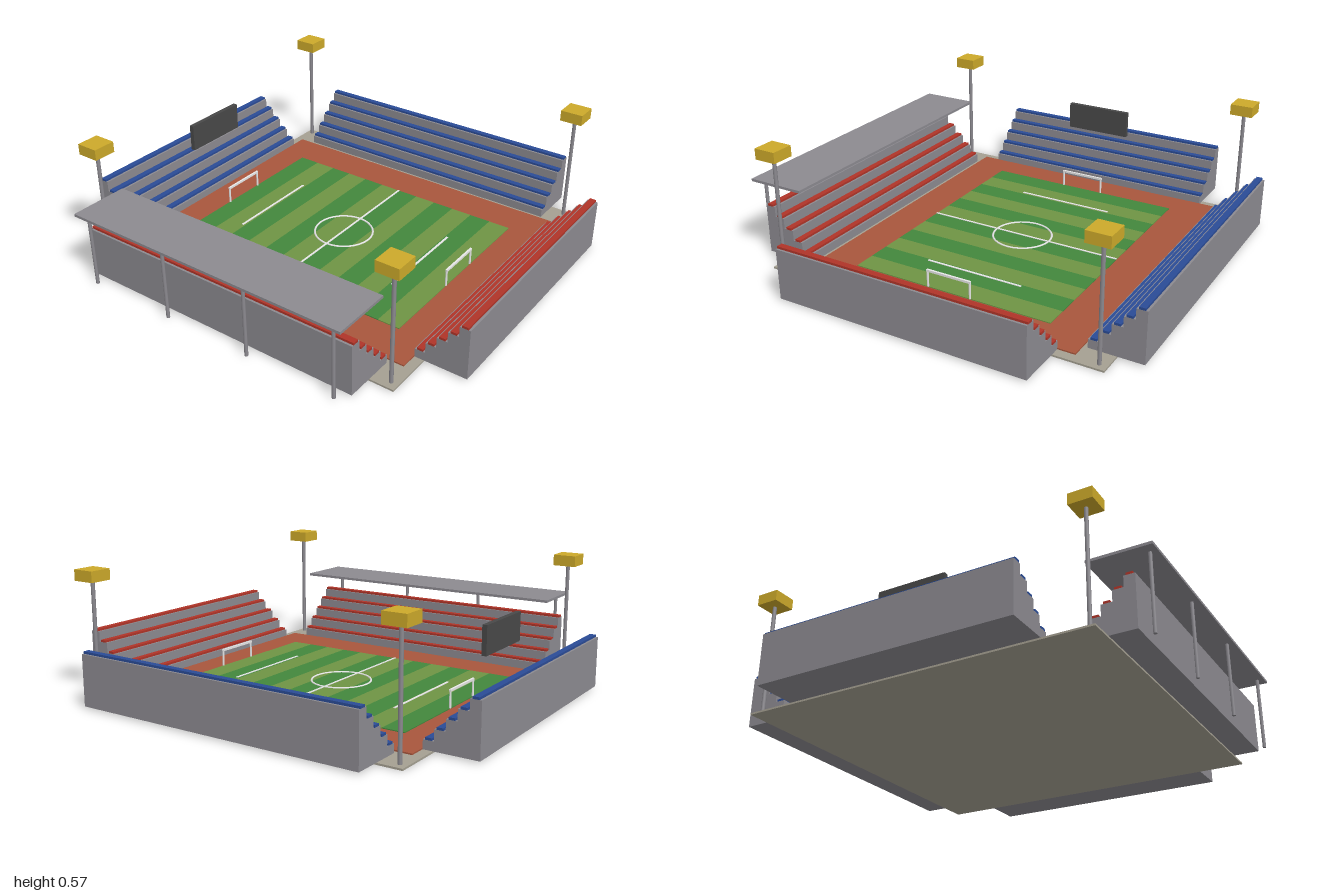
import * as THREE from 'three';

const mat = (name, color) => Object.assign(new THREE.MeshStandardMaterial({ color }), { name });

export function createModel() {
  const M = {
    ground: mat('ground', 0xa5a092),
    track: mat('track clay', 0xa8563c),
    dark: mat('dark grass', 0x43873d),
    light: mat('light grass', 0x6f9444),
    white: mat('white paint', 0xe8e8e8),
    concrete: mat('concrete', 0x8c8a90),
    red: mat('red seats', 0xb03428),
    blue: mat('blue seats', 0x2a4b96),
    lamp: mat('lamp yellow', 0xcca92a),
    board: mat('board dark', 0x484848),
  };
  const model = new THREE.Group();
  model.name = 'stadium';
  const CX = 0.035; // pitch centre line

  function add(name, geometry, material, x, y, z, parent = model) {
    const m = new THREE.Mesh(geometry, material);
    m.name = name;
    m.position.set(x, y, z);
    parent.add(m);
    return m;
  }
  // Box standing on height y
  const box = (name, material, w, h, d, x, y, z, parent) =>
    add(name, new THREE.BoxGeometry(w, h, d), material, x, y + h / 2, z, parent);
  const pole = (name, r, y0, y1, x, z, material = M.concrete, parent) =>
    add(name, new THREE.CylinderGeometry(r, r, y1 - y0, 8), material, x, (y0 + y1) / 2, z, parent);

  // Ground slab, running track and mown pitch
  box('groundSlab', M.ground, 1.61, 0.008, 1.61, CX, 0, 0);
  box('runningTrack', M.track, 1.33, 0.006, 1.525, CX, 0.008, 0);
  const stripes = 12, stripe = 1.245 / stripes;
  for (let i = 0; i < stripes; i++) {
    box('grassStripe', i % 2 ? M.light : M.dark, 0.965, 0.004, stripe, CX, 0.014, (i - 5.5) * stripe);
  }

  // Pitch markings
  const top = 0.018;
  box('halfwayLine', M.white, 0.965, 0.003, 0.009, CX, top, 0);
  const circle = add('centreCircle', new THREE.TorusGeometry(0.138, 0.005, 6, 32), M.white, CX, top, 0);
  circle.rotation.x = Math.PI / 2;

  for (const s of [-1, 1]) {
    box('penaltyLine', M.white, 0.476, 0.003, 0.01, CX, top, s * 0.428);
    // Goal frame
    const goal = new THREE.Group();
    goal.name = 'goal';
    model.add(goal);
    for (const e of [-1, 1]) pole('goalPost', 0.005, top, 0.092, CX + e * 0.105, s * 0.622, M.white, goal);
    box('crossbar', M.white, 0.218, 0.01, 0.01, CX, 0.09, s * 0.622, goal);
  }

  // Stepped stand: rises along local +x, runs along local z
  const STEPS = 5, DEPTH = 0.0475, RISE = 0.0475;
  function stand(name, length, seatMaterial, x, z, angle) {
    const g = new THREE.Group();
    g.name = name;
    const shape = new THREE.Shape();
    shape.moveTo(0, 0);
    shape.lineTo(STEPS * DEPTH, 0);
    for (let i = STEPS; i > 0; i--) {
      shape.lineTo(i * DEPTH, i * RISE - 0.008);
      shape.lineTo((i - 1) * DEPTH, i * RISE - 0.008);
    }
    const geo = new THREE.ExtrudeGeometry(shape, { depth: length, bevelEnabled: false });
    geo.translate(0, 0, -length / 2);
    add('terrace', geo, M.concrete, 0, 0, 0, g);
    for (let i = 0; i < STEPS; i++) {
      box('seatRow', seatMaterial, 0.028, 0.01, length, (i + 0.5) * DEPTH, (i + 1) * RISE - 0.008, 0, g);
    }
    g.position.set(x, 0.008, z);
    g.rotation.y = angle;
    model.add(g);
  }
  stand('leftStand', 1.39, M.blue, 0.718, 0, 0);
  stand('rightStand', 1.39, M.red, -0.648, 0, Math.PI);
  stand('frontStand', 1.175, M.red, CX, 0.7625, -Math.PI / 2);
  stand('backStand', 1.175, M.blue, CX, -0.7625, Math.PI / 2);

  // Roof over the right stand with its rear posts
  box('standRoof', M.concrete, 0.275, 0.012, 1.39, -0.8225, 0.338, 0);
  for (let i = 0; i < 4; i++) pole('roofPost', 0.008, 0, 0.34, -0.928, -0.643 + i * 0.4285);

  // Floodlights at the four corners
  for (const x of [-0.735, 0.805]) {
    for (const z of [-0.773, 0.773]) {
      pole('floodlightPole', 0.009, 0.004, 0.53, x, z);
      box('floodlightHead', M.lamp, 0.105, 0.05, 0.105, x, 0.523, z);
    }
  }

  // Scoreboard above the back stand
  box('scoreboard', M.board, 0.322, 0.128, 0.022, CX, 0.28, -0.797);

  return model;
}
